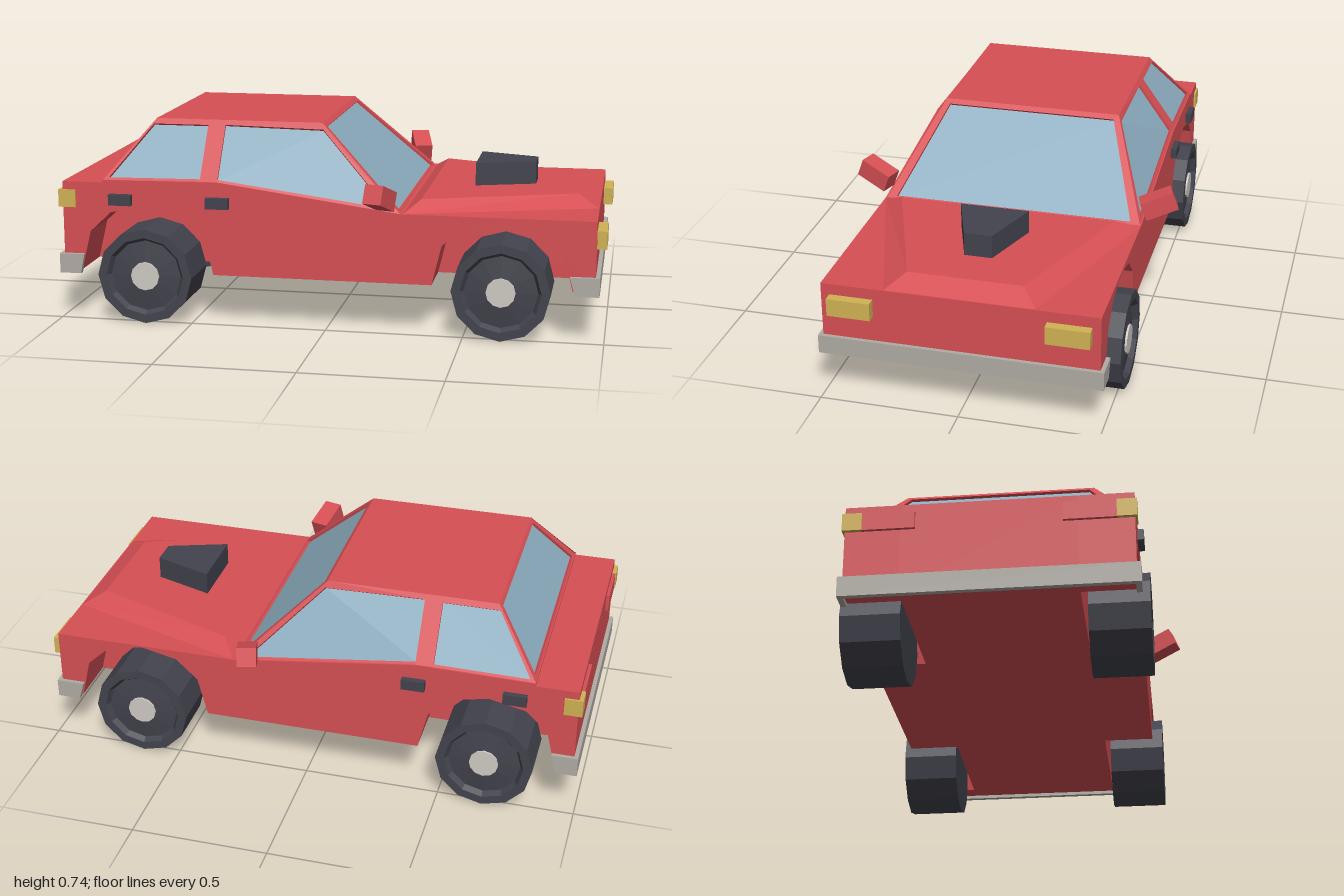
import * as THREE from 'three';

const mat = (name, color, side = THREE.FrontSide) => {
  const m = new THREE.MeshStandardMaterial({ color, side, flatShading: true });
  m.name = name;
  return m;
};
const V = (x, y, z) => new THREE.Vector3(x, y, z);

export function createModel() {
  const car = new THREE.Group();
  car.name = 'car';
  const red = mat('red paint', 0xd64f54, THREE.DoubleSide);
  const glass = mat('blue glass', 0x8cadbf, THREE.DoubleSide);
  const black = mat('black rubber', 0x42434d);
  const grey = mat('grey bumper', 0xb0aba4);
  const silver = mat('silver hub', 0xcfcac3);
  const amber = mat('amber lamp', 0xd0b254);

  const add = (name, geo, m, x = 0, y = 0, z = 0) => {
    const mesh = new THREE.Mesh(geo, m);
    mesh.name = name;
    mesh.position.set(x, y, z);
    car.add(mesh);
    return mesh;
  };
  // box given by its minimum and maximum corners
  const box = (name, m, x0, x1, y0, y1, z0, z1) =>
    add(name, new THREE.BoxGeometry(x1 - x0, y1 - y0, Math.abs(z1 - z0)), m,
      (x0 + x1) / 2, (y0 + y1) / 2, (z0 + z1) / 2);
  // side outline in x, y extruded between two z values
  const slab = (name, m, pts, z0, z1) => {
    const shape = new THREE.Shape(pts.map(([x, y]) => new THREE.Vector2(x, y)));
    add(name, new THREE.ExtrudeGeometry(shape, { depth: z1 - z0, bevelEnabled: false }), m, 0, 0, z0);
  };
  const quads = (list) => {
    const pts = list.flatMap(([a, b, c, d]) => [a, b, c, a, c, d]);
    const geo = new THREE.BufferGeometry().setFromPoints(pts);
    geo.computeVertexNormals();
    return geo;
  };
  // trapezoid block: rear and front x and half width, at the bottom and the top
  const wedge = (name, m, [bx0, bz0, bx1, bz1], [tx0, tz0, tx1, tz1], y0, y1) => {
    const ring = (x0, z0, x1, z1, y) => [V(x0, y, z0), V(x1, y, z1), V(x1, y, -z1), V(x0, y, -z0)];
    const b = ring(bx0, bz0, bx1, bz1, y0), t = ring(tx0, tz0, tx1, tz1, y1);
    const faces = [t];
    for (let i = 0; i < 4; i++) {
      const j = (i + 1) % 4;
      faces.push([b[i], b[j], t[j], t[i]]);
    }
    add(name, quads(faces), m);
  };

  // body: full-depth middle, outer sides cut out by the wheel arches
  const axles = [-0.668, 0.635];
  const top = [[0.965, 0.185], [0.965, 0.44], [0.27, 0.44], [-0.4, 0.53], [-0.83, 0.525],
    [-0.83, 0.515], [-0.985, 0.515], [-0.985, 0.185]];
  const arch = [[-0.25, 0.185], [-0.215, 0.33], [-0.135, 0.405], [0, 0.435],
    [0.135, 0.405], [0.215, 0.33], [0.25, 0.185]];
  const arches = axles.flatMap((ax) => arch.map(([x, y]) => [x + ax, y]));
  slab('bodyCentre', red, top, -0.3, 0.3);
  slab('bodySideLeft', red, [...top, ...arches], 0.3, 0.49);
  slab('bodySideRight', red, [...top, ...arches], -0.49, -0.3);

  // raised bonnet and its scoop
  wedge('bonnetBulge', red, [0.28, 0.488, 0.96, 0.265], [0.335, 0.405, 0.885, 0.205], 0.44, 0.48);
  wedge('bonnetScoop', black, [0.5, 0.125, 0.72, 0.05], [0.5, 0.125, 0.72, 0.05], 0.475, 0.565);

  // window panel: a frame with a slightly recessed pane, u along the bottom and v upward
  const centre = V(-0.35, 0.55, 0);
  const panel = (name, [a, b, c, d], u0, u1, v0, v1) => {
    const at = (u, v) => a.clone().lerp(b, u).lerp(d.clone().lerp(c, u), v);
    const outer = [a, b, c, d];
    const inner = [at(u0, v0), at(u1, v0), at(u1, v1), at(u0, v1)];
    const n = b.clone().sub(a).cross(d.clone().sub(a)).normalize();
    if (n.dot(a.clone().sub(centre)) > 0) n.negate();
    const pane = inner.map((p) => p.clone().addScaledVector(n, 0.01));
    const frame = [];
    for (let i = 0; i < 4; i++) {
      const j = (i + 1) % 4;
      frame.push([outer[i], outer[j], inner[j], inner[i]], [inner[i], inner[j], pane[j], pane[i]]);
    }
    add(name + 'Frame', quads(frame), red);
    add(name + 'Glass', quads([pane]), glass);
  };

  // cabin
  const bz = 0.485, tz = 0.337, ty = 0.735;
  for (const s of [1, -1]) {
    const side = s > 0 ? 'left' : 'right';
    const low = (x, y) => V(x, y, s * bz), high = (x) => V(x, ty, s * tz);
    panel(side + 'RearWindow', [low(-0.83, 0.525), low(-0.465, 0.53), high(-0.465), high(-0.665)],
      0.04, 1, 0.04, 0.91);
    add(side + 'Pillar', quads([[low(-0.465, 0.53), low(-0.4, 0.53), high(-0.4), high(-0.465)]]), red);
    panel(side + 'FrontWindow', [low(-0.4, 0.53), low(0.27, 0.44), high(-0.04), high(-0.4)],
      0, 0.95, 0.04, 0.92);
  }
  panel('windscreen', [V(0.27, 0.44, bz), V(0.27, 0.44, -bz), V(-0.04, ty, -tz), V(-0.04, ty, tz)],
    0.035, 0.965, 0.02, 0.95);
  panel('backWindow', [V(-0.83, 0.52, -bz), V(-0.83, 0.52, bz), V(-0.665, ty, tz), V(-0.665, ty, -tz)],
    0.035, 0.965, 0.05, 0.94);
  add('roof', quads([[V(-0.665, ty, tz), V(-0.04, ty, tz), V(-0.04, ty, -tz), V(-0.665, ty, -tz)]]), red);

  // bumper bars
  box('frontBumper', grey, 0.96, 0.98, 0.172, 0.24, -0.505, 0.505);
  box('rearBumper', grey, -1, -0.98, 0.172, 0.245, -0.505, 0.505);

  for (const s of [1, -1]) {
    // bumper ends wrapping round the corners
    const z0 = s > 0 ? 0.485 : -0.505, z1 = z0 + 0.02;
    slab('frontBumperEnd', grey, [[0.895, 0.172], [0.975, 0.172], [0.975, 0.24], [0.875, 0.24]], z0, z1);
    slab('rearBumperEnd', grey, [[-0.995, 0.172], [-0.92, 0.172], [-0.905, 0.245], [-0.995, 0.245]], z0, z1);

    // lamps
    box('headlamp', amber, 0.96, 1, 0.335, 0.4, s * 0.305, s * 0.46);
    box('rearCornerLamp', amber, -1, -0.935, 0.42, 0.485, s * 0.43, s * 0.498);
    box('tailLamp', red, -0.997, -0.98, 0.42, 0.485, s * 0.25, s * 0.43);

    // door handles
    for (const x of [-0.805, -0.44])
      box('doorHandle', black, x, x + 0.085, 0.435, 0.475, s * 0.48, s * 0.512);

    // mirrors, tilted up and swept back
    const mirror = add('mirror', new THREE.BoxGeometry(0.07, 0.07, 0.125), red, 0.205, 0.507, s * 0.54);
    mirror.rotation.set(-s * 0.37, -s * 0.27, 0, 'YXZ');

    // wheels with a dished outer face
    for (const x of axles) {
      const profile = [[0, -0.105], [0.177, -0.105], [0.177, 0.105], [0.145, 0.105],
        [0.132, 0.085], [0.05, 0.095], [0, 0.095]].map(([r, h]) => new THREE.Vector2(r, h));
      const tyre = add('wheel', new THREE.LatheGeometry(profile, 12), black, x, 0.177, s * 0.423);
      tyre.rotation.x = s * Math.PI / 2;
      const hub = add('hub', new THREE.CylinderGeometry(0.053, 0.053, 0.03, 12), silver, x, 0.177, s * 0.51);
      hub.rotation.x = s * Math.PI / 2;
    }
  }
  return car;
}
